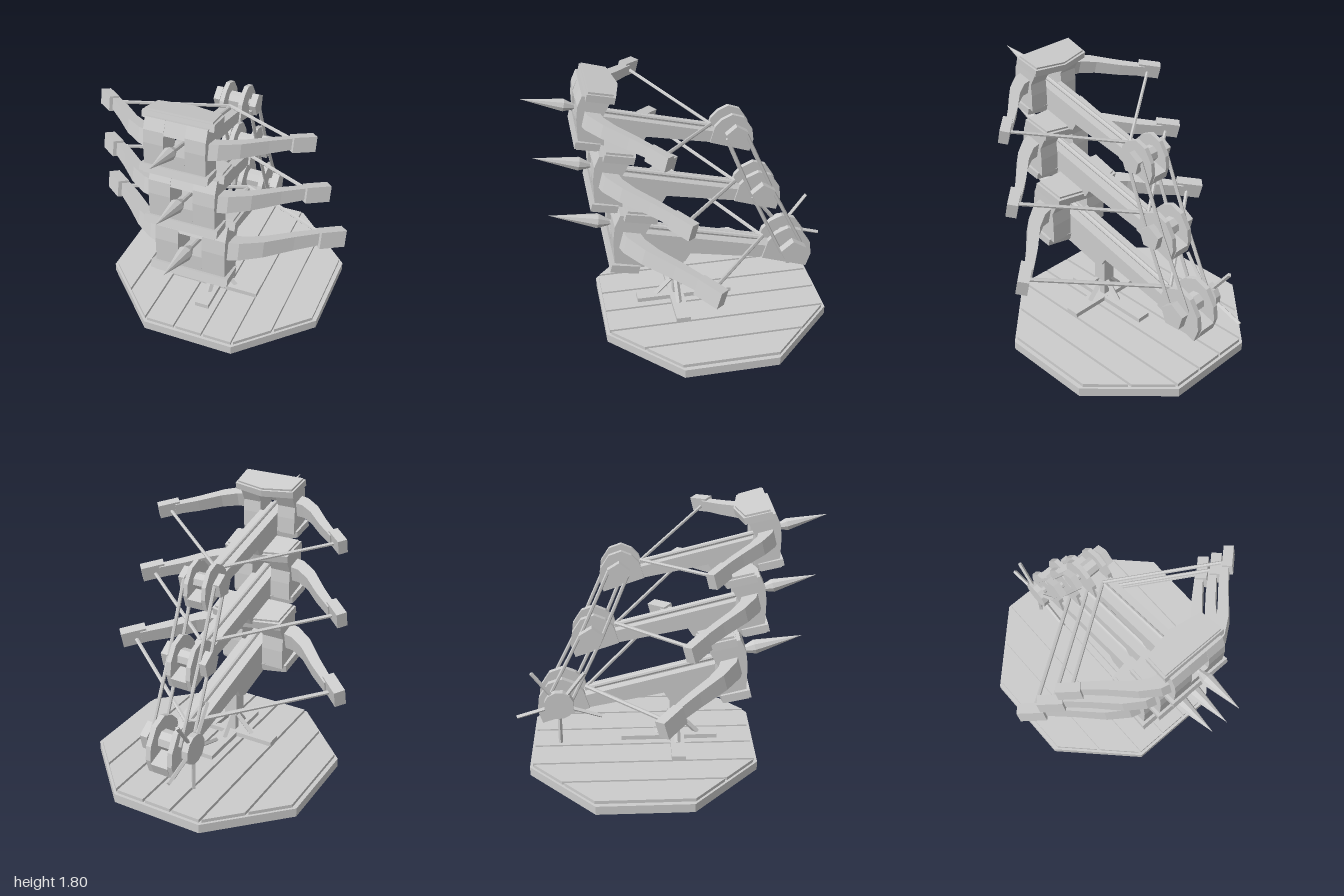
import * as THREE from 'three';

const mat = new THREE.MeshStandardMaterial({ color: 0xcccccc, flatShading: true });
const PITCH = 0.249;
const AXLE = [-1.66, 0.011]; // winch axle, z and y in bow space

function add(parent, name, geo) {
  const m = new THREE.Mesh(geo, mat);
  m.name = name;
  parent.add(m);
  return m;
}

function box(parent, name, w, h, d, x, y, z) {
  const m = add(parent, name, new THREE.BoxGeometry(w, h, d));
  m.position.set(x, y, z);
  return m;
}

function extrude(pts, depth) {
  const shape = new THREE.Shape(pts.map(p => new THREE.Vector2(p[0], p[1])));
  return new THREE.ExtrudeGeometry(shape, { depth, bevelEnabled: false });
}

// side profile [z, y] spread from x0 to x1
function side(parent, name, pts, x0, x1) {
  return add(parent, name, extrude(pts, x1 - x0).rotateY(-Math.PI / 2).translate(x1, 0, 0));
}

// plan outline [x, z] spread from y0 to y1
function plan(parent, name, pts, y0, y1) {
  return add(parent, name, extrude(pts, y1 - y0).rotateX(Math.PI / 2).translate(0, y1, 0));
}

// straight rod between two points
function rod(parent, name, a, b, r, sides = 6) {
  const p = new THREE.Vector3(...a), q = new THREE.Vector3(...b);
  const d = q.clone().sub(p);
  const m = add(parent, name, new THREE.CylinderGeometry(r, r, d.length(), sides));
  m.position.copy(p).add(q).multiplyScalar(0.5);
  m.quaternion.setFromUnitVectors(new THREE.Vector3(0, 1, 0), d.normalize());
  return m;
}

// disc lying across the x axis
function disc(parent, name, r, x0, x1, sides) {
  const g = new THREE.CylinderGeometry(r, r, x1 - x0, sides).rotateZ(Math.PI / 2);
  return add(parent, name, g.translate((x0 + x1) / 2, AXLE[1], AXLE[0]));
}

// five sided plate with a slightly pointed rear edge
const plateOutline = (w, front, rear) =>
  [[-w, front], [w, front], [w - 0.012, rear + 0.05], [0, rear], [-w + 0.012, rear + 0.05]];

function bowArm(parent, s) {
  // outer and inner edges of the curved limb, seen from above
  const outer = [[0.2, -0.435], [0.3, -0.46], [0.43, -0.555], [0.58, -0.72], [0.74, -0.88]];
  const inner = [[0.7, -0.92], [0.55, -0.79], [0.41, -0.65], [0.3, -0.575], [0.2, -0.55]];
  const g = extrude([...outer, ...inner].map(([x, z]) => [x * s, z]), 1).rotateX(Math.PI / 2);
  const pos = g.attributes.position;
  for (let i = 0; i < pos.count; i++) {
    const t = (Math.abs(pos.getX(i)) - 0.2) / 0.52;
    pos.setY(i, 0.02 + 0.04 * t + (pos.getY(i) + 0.5) * (0.125 - 0.04 * t));
  }
  g.computeVertexNormals();
  add(parent, 'bowArm', g);
  const tip = box(parent, 'armTip', 0.18, 0.115, 0.075, s * 0.765, 0.06, -0.915);
  tip.rotation.y = s * 0.74;
  rod(parent, 'bowString', [s * 0.74, 0.045, -0.93], [0, 0.01, -1.48], 0.014);
}

function createBow(spokedWheel) {
  const bow = new THREE.Group();
  bow.name = 'crossbow';

  // bolt
  const head = [[0, 0], [0.05, 0.32], [0.022, 0.4], [0, 0.4]].reverse();
  add(bow, 'boltHead', new THREE.LatheGeometry(head.map(p => new THREE.Vector2(p[0], -p[1])), 8)
    .rotateX(Math.PI / 2));
  rod(bow, 'boltShaft', [0, 0, -0.38], [0, 0, -1.46], 0.018, 8);

  // front frame with a window for the bolt
  const pillar = [[-0.4, 0.2], [-0.383, 0.11], [-0.395, 0.01], [-0.443, -0.17],
    [-0.64, -0.17], [-0.61, -0.04], [-0.58, 0.05], [-0.62, 0.2]];
  side(bow, 'framePillar', pillar, 0.08, 0.235);
  side(bow, 'framePillar', pillar, -0.235, -0.08);
  side(bow, 'frameLintel', [[-0.4, 0.2], [-0.385, 0.09], [-0.58, 0.09], [-0.62, 0.2]], -0.08, 0.08);
  side(bow, 'frameSill', [[-0.41, -0.05], [-0.443, -0.17], [-0.64, -0.17], [-0.61, -0.05]], -0.08, 0.08);
  plan(bow, 'frameCap', plateOutline(0.272, -0.425, -0.69), 0.18, 0.235);
  plan(bow, 'frameCapTop', plateOutline(0.255, -0.435, -0.675), 0.235, 0.25);
  plan(bow, 'framePlate', plateOutline(0.262, -0.42, -0.66), -0.215, -0.16);
  plan(bow, 'framePlateBottom', plateOutline(0.24, -0.44, -0.65), -0.232, -0.215);

  // stock with a belly and two rails
  side(bow, 'stock', [[-0.6, -0.045], [-1.5, -0.035], [-1.49, -0.107], [-0.98, -0.133],
    [-0.96, -0.2], [-0.9, -0.232], [-0.6, -0.232]], -0.08, 0.08);
  for (const s of [-1, 1]) {
    box(bow, 'stockRail', 0.055, 0.035, 0.9, s * 0.0525, -0.03, -1.05);
    bowArm(bow, s);
  }

  // winch housing
  const cheek = [[-1.486, -0.105], [-1.49, 0.03], [-1.53, 0.1], [-1.6, 0.155], [-1.7, 0.145],
    [-1.79, 0.06], [-1.825, -0.03], [-1.82, -0.132]];
  side(bow, 'winchCheek', cheek, 0.06, 0.095);
  side(bow, 'winchCheek', cheek, -0.095, -0.06);
  side(bow, 'winchBed', [[-1.48, -0.035], [-1.83, -0.05], [-1.82, -0.132], [-1.48, -0.105]], -0.06, 0.06);
  disc(bow, 'winchDrum', 0.065, -0.06, 0.06, 8);
  disc(bow, 'winchAxle', 0.028, -0.17, 0.17, 8);
  disc(bow, 'winchPulley', 0.092, 0.125, 0.178, 5);
  if (spokedWheel) {
    disc(bow, 'wheelHub', 0.1, -0.178, -0.135, 12);
    for (let i = 0; i < 5; i++) {
      const t = 0.37 + i * Math.PI * 0.4;
      rod(bow, 'wheelSpoke', [-0.157, AXLE[1], AXLE[0]],
        [-0.157, AXLE[1] + 0.295 * Math.cos(t), AXLE[0] - 0.295 * Math.sin(t)], 0.014, 4);
    }
  } else {
    disc(bow, 'winchPulley', 0.092, -0.178, -0.125, 5);
  }
  bow.rotation.x = -PITCH;
  return bow;
}

export function createModel() {
  const model = new THREE.Group();
  model.name = 'tripleCrossbow';

  // octagonal deck with planks
  const deck = new THREE.Group();
  deck.name = 'deck';
  deck.position.z = -0.165;
  model.add(deck);
  add(deck, 'deckSlab', new THREE.CylinderGeometry(0.817, 0.817, 0.062, 8)
    .rotateY(Math.PI / 8).translate(0, 0.031, 0));
  const reach = x => Math.min(0.735, 1.045 - Math.abs(x));
  const seams = [-0.735, -0.52, -0.31, -0.1, 0.1, 0.31, 0.52, 0.735];
  for (let i = 0; i < 7; i++) {
    const a = seams[i] + 0.008, b = seams[i + 1] - 0.008;
    plan(deck, 'plank', [[a, -reach(a)], [b, -reach(b)], [b, reach(b)], [a, reach(a)]], 0.06, 0.085);
  }

  // cross foot, post and braces
  const stand = new THREE.Group();
  stand.name = 'stand';
  stand.position.z = 0.068;
  model.add(stand);
  box(stand, 'footBar', 0.62, 0.033, 0.095, 0, 0.1, 0);
  box(stand, 'footBar', 0.095, 0.032, 0.655, 0, 0.1, -0.055);
  box(stand, 'post', 0.045, 0.2, 0.045, 0, 0.18, 0);
  box(stand, 'postHead', 0.09, 0.23, 0.095, 0, 0.365, 0);
  for (let i = 0; i < 4; i++) {
    const c = Math.round(Math.cos(i * Math.PI / 2)), s = Math.round(Math.sin(i * Math.PI / 2));
    rod(stand, 'brace', [0.14 * c, 0.11, 0.14 * s], [0.02 * c, 0.24, 0.02 * s], 0.02, 4);
  }

  // three stacked crossbows, each smaller: bolt tip y, bolt tip z, scale
  const rows = [[0.845, 0.895, 1], [1.28, 0.96, 0.9], [1.69, 1.0, 0.81]];
  const axles = rows.map(([y, z, k], i) => {
    const bow = createBow(i === 0);
    bow.position.set(0, y, z);
    bow.scale.setScalar(k);
    model.add(bow);
    const cos = Math.cos(PITCH), sin = Math.sin(PITCH);
    return { y: y + k * (AXLE[1] * cos + AXLE[0] * sin), z: z + k * (AXLE[0] * cos - AXLE[1] * sin), r: 0.075 * k };
  });

  // drive ropes between neighbouring winches
  for (let i = 0; i < 2; i++) {
    const p = axles[i], q = axles[i + 1];
    const dy = q.y - p.y, dz = q.z - p.z, len = Math.hypot(dy, dz);
    for (const x of [-0.108, 0.108]) for (const s of [-1, 1]) {
      const ny = -s * dz / len, nz = s * dy / len;
      rod(model, 'driveRope', [x, p.y + ny * p.r, p.z + nz * p.r], [x, q.y + ny * q.r, q.z + nz * q.r], 0.012);
    }
  }
  return model;
}
